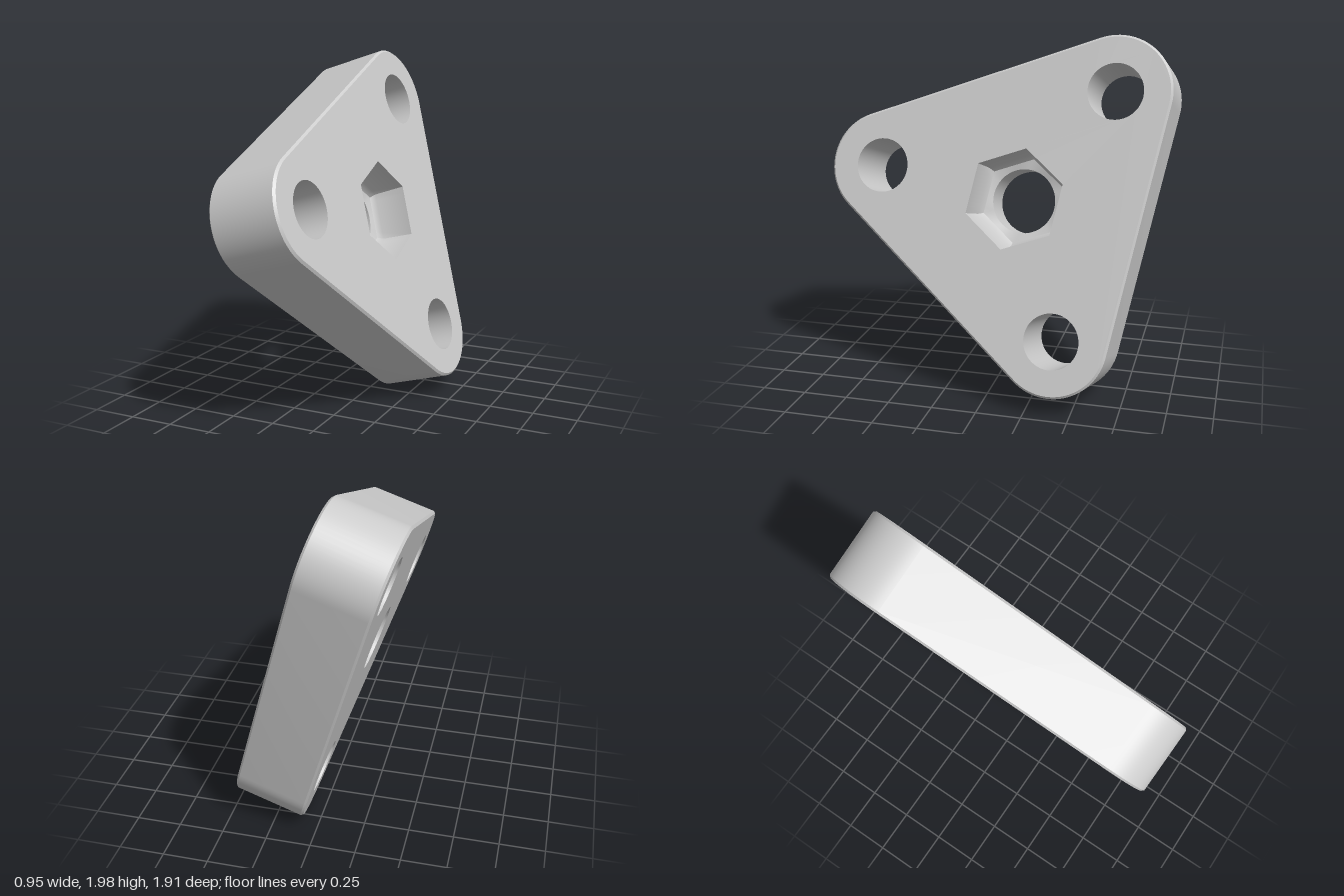
import * as THREE from 'three';
import { mergeGeometries, toCreasedNormals } from 'three/addons/utils/BufferGeometryUtils.js';

const THICK = 0.405, EDGE = 0.012, CORNER_DIST = 0.791, CORNER_R = 0.303;
const HOLE_R = 0.151, BORE_R = 0.18, HEX_R = 0.282, POCKET = 0.21;
const corners = [90, 210, 330].map(THREE.MathUtils.degToRad)
  .map(a => ({ a, x: CORNER_DIST * Math.cos(a), y: CORNER_DIST * Math.sin(a) }));

// Counter-clockwise outline of the rounded triangle
function outline(r, steps = 24) {
  const pts = [];
  for (const c of corners)
    for (let i = 0; i <= steps; i++) {
      const t = c.a + (i / steps - 0.5) * Math.PI * 2 / 3;
      pts.push(new THREE.Vector2(c.x + r * Math.cos(t), c.y + r * Math.sin(t)));
    }
  return pts;
}

// Closed loop given by a radius, or by a radius function of the angle
function ring(r, cx = 0, cy = 0, n = 48) {
  return Array.from({ length: n }, (_, i) => {
    const t = i / n * Math.PI * 2, d = typeof r === 'function' ? r(t) : r;
    return new THREE.Vector2(cx + d * Math.cos(t), cy + d * Math.sin(t));
  });
}

const hexRadius = r => t => {
  const s = Math.PI / 3;
  return r * Math.cos(s / 2) / Math.cos((t % s) - s / 2);
};

// Skin between successive loops [points, z]; going up in z it faces outwards
function loft(loops) {
  const n = loops[0][0].length, pos = [], idx = [];
  for (const [pts, z] of loops) for (const p of pts) pos.push(p.x, p.y, z);
  for (let k = 0; k < loops.length - 1; k++)
    for (let i = 0; i < n; i++) {
      const j = (i + 1) % n, a = k * n + i, b = k * n + j;
      idx.push(a, b, b + n, a, b + n, a + n);
    }
  const g = new THREE.BufferGeometry();
  g.setAttribute('position', new THREE.Float32BufferAttribute(pos, 3));
  g.setIndex(idx);
  return g;
}

// Flat face with holes
function cap(outer, holes, z, flip) {
  const shape = new THREE.Shape(outer);
  shape.holes = holes.map(h => new THREE.Path(h));
  const g = new THREE.ShapeGeometry(shape).translate(0, 0, z);
  g.deleteAttribute('uv');
  g.deleteAttribute('normal');
  if (flip) g.setIndex(Array.from(g.index.array).reverse());
  return g;
}

export function createModel() {
  const boltRings = r => corners.map(c => ring(r, c.x, c.y));
  const rimHoles = boltRings(HOLE_R);

  const parts = [
    // Front and back faces
    cap(outline(CORNER_R - EDGE), [...rimHoles, ring(hexRadius(HEX_R))], 0, false),
    cap(outline(CORNER_R - EDGE), [...rimHoles, ring(BORE_R)], -THICK, true),
    // Outer wall with softened edges
    loft([
      [outline(CORNER_R - EDGE), -THICK], [outline(CORNER_R), -THICK + EDGE],
      [outline(CORNER_R), -EDGE], [outline(CORNER_R - EDGE), 0],
    ]),
    // Bolt holes
    ...rimHoles.map(h => loft([[h, 0], [h, -THICK]])),
    // Six-sided nut pocket stepping down to the round bore
    loft([
      [ring(hexRadius(HEX_R)), 0], [ring(hexRadius(HEX_R - 0.015)), -POCKET + 0.03],
      [ring(hexRadius(HEX_R - 0.04)), -POCKET], [ring(BORE_R), -POCKET - 0.01],
      [ring(BORE_R), -THICK],
    ]),
  ];
  const geometry = toCreasedNormals(mergeGeometries(parts), 0.6);

  // Tilt the plate: local z is the face normal, local y points at the upper corner
  const normal = new THREE.Vector3(0.953, 0.297, 0.045).normalize();
  const up = new THREE.Vector3(-0.157, 0.58, -0.513).projectOnPlane(normal).normalize();
  const side = new THREE.Vector3().crossVectors(up, normal);
  geometry.applyMatrix4(new THREE.Matrix4().makeBasis(side, up, normal));

  // Centre it and stand it on the ground
  geometry.center();
  geometry.computeBoundingBox();
  geometry.translate(0, -geometry.boundingBox.min.y, 0);

  const plate = new THREE.Mesh(geometry, new THREE.MeshStandardMaterial({ color: 0xcccccc }));
  plate.name = 'triangularPlate';
  const group = new THREE.Group();
  group.name = 'mountingPlate';
  group.add(plate);
  return group;
}
